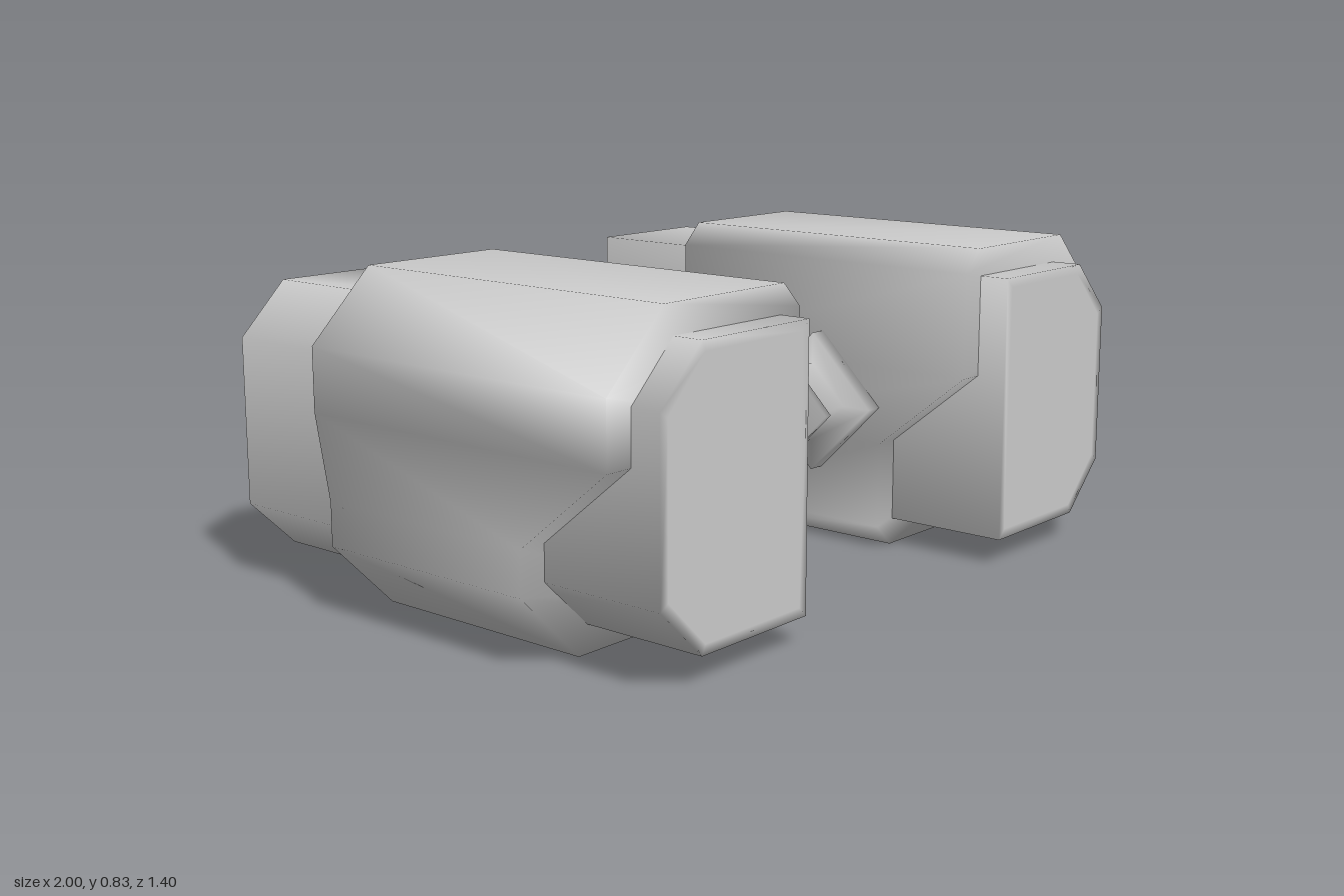
import * as THREE from 'three';

const material = new THREE.MeshStandardMaterial({ color: 0xcccccc });

// Skin a stack of equal-sized rings with closed ends and smooth normals; side = -1 mirrors in x
function loft(rings, side) {
  const n = rings[0].length, last = (rings.length - 1) * n;
  const index = [];
  const tri = (a, b, c) => index.push(...(side > 0 ? [a, b, c] : [a, c, b]));
  for (let i = 0; i < rings.length - 1; i++) {
    for (let j = 0; j < n; j++) {
      const k = (j + 1) % n, a = i * n, b = a + n;
      tri(a + j, a + k, b + k);
      tri(a + j, b + k, b + j);
    }
  }
  for (let j = 1; j < n - 1; j++) {
    tri(0, j + 1, j);
    tri(last, last + j, last + j + 1);
  }
  const points = rings.flat().flatMap(([x, y, z]) => [x * side, y, z]);
  const geometry = new THREE.BufferGeometry();
  geometry.setAttribute('position', new THREE.Float32BufferAttribute(points, 3));
  geometry.setIndex(index);
  geometry.computeVertexNormals();
  return geometry;
}

// Long inner pod, chamfered on its outer side, with a narrow border on each end face
function podGeometry(side) {
  const outline = [[0.42, 0.07], [0.79, 0.07], [0.925, 0.2], [0.925, 0.63], [0.79, 0.763], [0.42, 0.763]];
  const cx = 0.6725, cy = 0.4165;
  const ring = (z, inset) => outline.map(([x, y]) => [
    cx + (x - cx) * (1 - inset / 0.2525), cy + (y - cy) * (1 - inset / 0.3465), z,
  ]);
  return loft([ring(-0.7, 0.025), ring(-0.7, 0), ring(0.7, 0), ring(0.7, 0.025)], side);
}

// Housing rows from bottom to top: outer x and y, inner x and y, front z, back z
function housingGeometry(side) {
  const rows = [
    [0.82, 0, 0.41, 0, 0.36, -0.28],
    [1, 0.18, 0.35, 0.06, 0.36, -0.28],
    [1, 0.29, 0.35, 0.29, 0.36, -0.28],
    [1, 0.5, 0.35, 0.5, 0.62, -0.327],
    [1, 0.66, 0.35, 0.775, 0.62, -0.327],
    [0.82, 0.835, 0.41, 0.835, 0.62, -0.327],
  ];
  return loft(rows.map(([xo, yo, xi, yi, f, b]) =>
    [[xo, yo, f], [xo, yo, b], [xi, yi, b], [xi, yi, f]]), side);
}

// Four-sided stub axle: end flange, neck and mounting plate
function connectorGeometry(side) {
  const profile = [
    [0, 0.165], [0.15, 0.165], [0.15, 0.187], [0.107, 0.187],
    [0.107, 0.303], [0.19, 0.303], [0.19, 0.36], [0, 0.36],
  ].map(([r, h]) => new THREE.Vector2(r, h));
  return new THREE.LatheGeometry(profile, 4)
    .rotateZ(-side * Math.PI / 2)
    .translate(0, 0.39, 0.168);
}

export function createModel() {
  const model = new THREE.Group();
  model.name = 'twinPods';
  for (const side of [1, -1]) {
    const unit = new THREE.Group();
    unit.name = side > 0 ? 'leftUnit' : 'rightUnit';
    const parts = { pod: podGeometry, housing: housingGeometry, connector: connectorGeometry };
    for (const [name, build] of Object.entries(parts)) {
      const mesh = new THREE.Mesh(build(side), material);
      mesh.name = name;
      unit.add(mesh);
    }
    model.add(unit);
  }
  return model;
}
